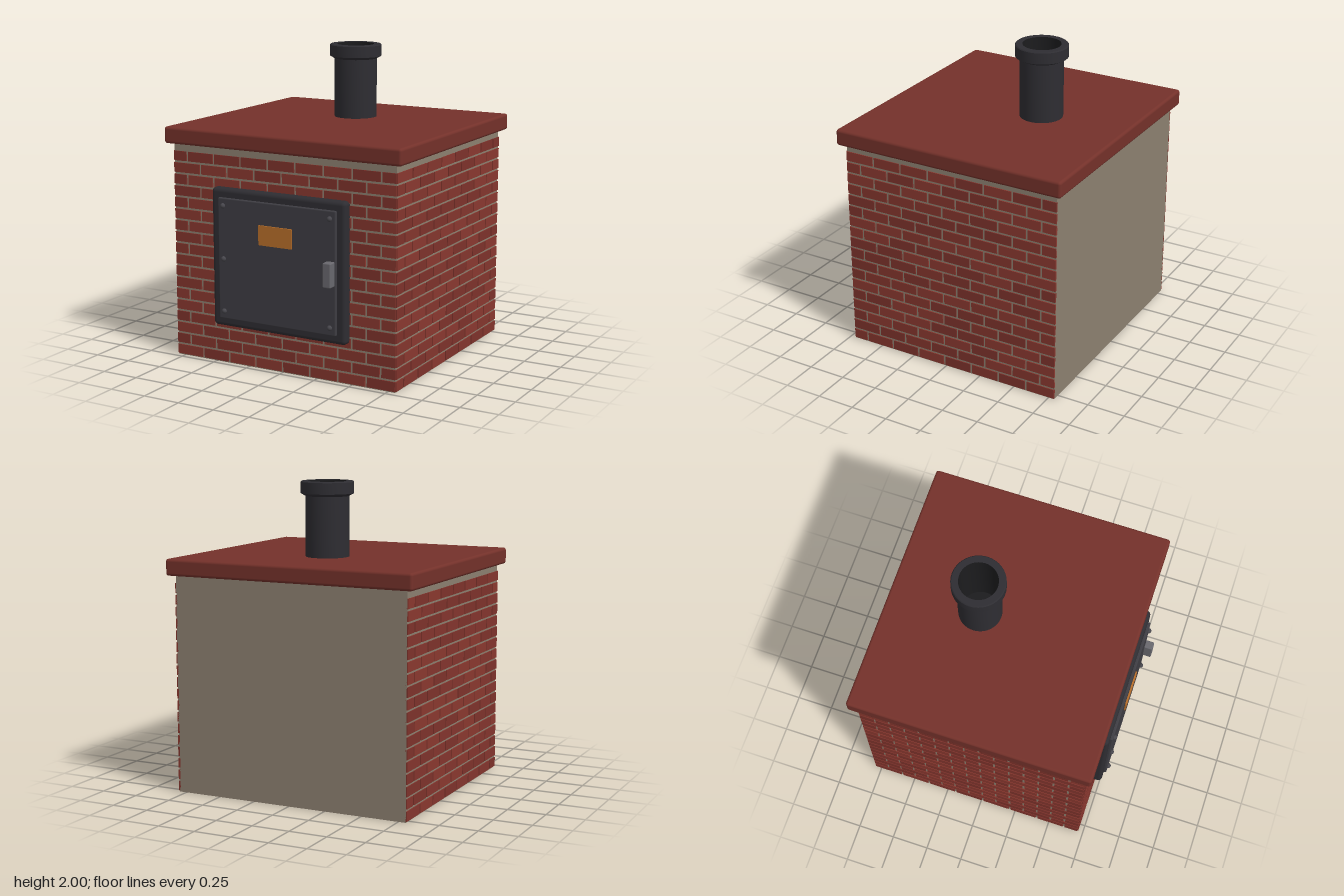
import * as THREE from 'three';
import { mergeGeometries, toCreasedNormals } from 'three/addons/utils/BufferGeometryUtils.js';
import { RoundedBoxGeometry } from 'three/addons/geometries/RoundedBoxGeometry.js';

const material = (color, side = THREE.FrontSide) => new THREE.MeshStandardMaterial({ color, side });
const MID_Z = -0.04, HALF_W = 0.8, HALF_D = 0.75; // masonry core

export function createModel() {
  const model = new THREE.Group();
  model.name = 'brickOven';

  const add = (name, geometry, mat, x = 0, y = 0, z = 0) => {
    const mesh = new THREE.Mesh(geometry, mat);
    mesh.name = name;
    mesh.position.set(x, y, z);
    model.add(mesh);
    return mesh;
  };

  // Mortar core, plain at the back
  add('mortarCore', new THREE.BoxGeometry(2 * HALF_W, 1.42, 2 * HALF_D), material(0x8c8070), 0, 0.71, MID_Z);

  // Running-bond bricks on the front and both sides, in three close tints
  const tints = [[], [], []];
  const pitch = 0.2, rowPitch = 0.076, rows = 18, brickH = 0.062, gap = 0.014, proud = 0.007;
  let seed = 7;
  const random = () => (seed = (seed * 16807) % 2147483647) / 2147483647;

  const layWall = (length, place) => {
    for (let row = 0; row < rows; row++) {
      const y = 0.007 + row * rowPitch + brickH / 2;
      for (let s = row % 2 ? -pitch / 2 : 0; s < length - 0.01; s += pitch) {
        const a = s <= 0.001 ? 0 : s + gap / 2;
        const b = s + pitch >= length - 0.001 ? length : s + pitch - gap / 2;
        const brick = new THREE.BoxGeometry(b - a, brickH, 2 * proud);
        brick.translate((a + b) / 2, y, 0);
        place(brick);
        tints[Math.floor(random() * 3)].push(brick);
      }
    }
  };
  layWall(2 * HALF_W, g => g.translate(-HALF_W, 0, MID_Z + HALF_D));
  for (const side of [-1, 1]) {
    layWall(2 * HALF_D, g => g.rotateY(-Math.PI / 2).translate(side * HALF_W, 0, MID_Z - HALF_D));
  }
  [0x8a382f, 0x84352d, 0x7e322b].forEach((color, i) =>
    add('bricks' + (i + 1), mergeGeometries(tints[i]), material(color)));

  // Overhanging roof slab
  add('roofSlab', new RoundedBoxGeometry(1.7, 0.108, 1.592, 3, 0.018), material(0x74312a), 0, 1.464, MID_Z);

  // Chimney pipe with a thicker collar and an open, sooty bore
  const lathe = points => toCreasedNormals(
    new THREE.LatheGeometry(points.map(p => new THREE.Vector2(...p)), 40), 0.6);
  const iron = material(0x2e2d32);
  add('chimneyPipe', lathe([
    [0.14, 1.5], [0.14, 1.905], [0.17, 1.922], [0.17, 1.994], [0.164, 2], [0.123, 2],
  ]), iron, 0, 0, -0.245);
  add('chimneyBore', lathe([[0.123, 2], [0.123, 1.53], [0, 1.53]]),
    material(0x1c1c1e, THREE.DoubleSide), 0, 0, -0.245);

  // Door frame and door
  add('doorFrame', new RoundedBoxGeometry(0.968, 0.9, 0.078, 4, 0.026), iron, 0, 0.712, 0.729);
  add('doorPanel', new RoundedBoxGeometry(0.85, 0.786, 0.04, 2, 0.008), material(0x3e3d43), 0, 0.712, 0.765);
  add('namePlate', new THREE.BoxGeometry(0.24, 0.126, 0.02), material(0xb86f2a), 0, 0.897, 0.785);
  add('doorHandle', new RoundedBoxGeometry(0.056, 0.156, 0.06, 2, 0.008), material(0x69686e), 0.392, 0.713, 0.811);

  // Rivets: the four corners and the middle of the hinge side
  const rivet = new THREE.SphereGeometry(0.017, 14, 10);
  for (const [x, y] of [[-0.385, 0.37], [-0.385, 0.712], [-0.385, 1.055], [0.385, 0.37], [0.385, 1.055]]) {
    add('rivet', rivet, material(0x47464c), x, y, 0.788);
  }

  return model;
}
